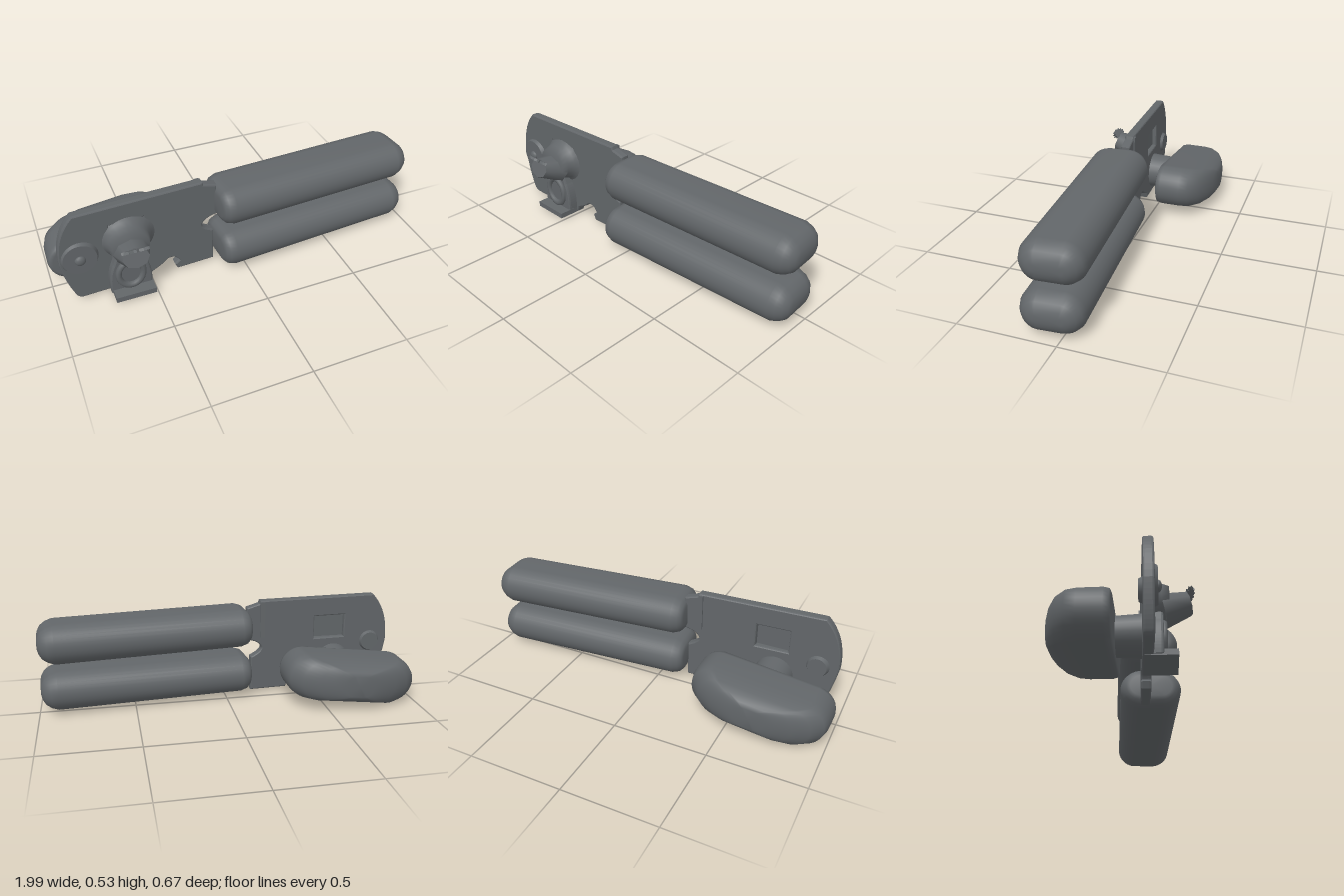
import * as THREE from 'three';

const steel = new THREE.MeshStandardMaterial({ color: 0x626669 });
steel.name = 'dark grey';

function add(parent, name, geometry, x = 0, y = 0, z = 0) {
  const mesh = new THREE.Mesh(geometry, steel);
  mesh.name = name;
  mesh.position.set(x, y, z);
  parent.add(mesh);
  return mesh;
}

// Closed loft along z through pill-shaped rings [z, halfLength, halfHeight]
function pillLoft(rings, n = 32) {
  const pos = [], index = [];
  for (const [z, a, b] of rings) {
    for (let i = 0; i < n; i++) {
      const t = ((i + 0.5) / n) * Math.PI * 2;
      pos.push(Math.cos(t) * b + Math.sign(Math.cos(t)) * (a - b), Math.sin(t) * b, z);
    }
  }
  for (let r = 0; r < rings.length - 1; r++) {
    for (let i = 0; i < n; i++) {
      const j = (i + 1) % n, p = r * n, q = p + n;
      index.push(p + i, p + j, q + j, p + i, q + j, q + i);
    }
  }
  const first = pos.length / 3, top = (rings.length - 1) * n;
  pos.push(0, 0, rings[0][0], 0, 0, rings[rings.length - 1][0]);
  for (let i = 0; i < n; i++) {
    const j = (i + 1) % n;
    index.push(first, j, i, first + 1, top + i, top + j);
  }
  const g = new THREE.BufferGeometry();
  g.setAttribute('position', new THREE.Float32BufferAttribute(pos, 3));
  g.setIndex(index);
  g.computeVertexNormals();
  return g;
}

function discGeometry(r0, r1, depth, sides = 28) {
  return new THREE.CylinderGeometry(r1, r0, depth, sides).rotateX(Math.PI / 2);
}

// Depth of the sloping plate's mid-plane at a given x
const plateZ = (x) => 0.125 - 0.045 * (x + 0.9);

function plateGeometry() {
  const s = new THREE.Shape();
  s.moveTo(-0.86, 0.515);
  s.quadraticCurveTo(-0.955, 0.42, -0.95, 0.25);
  s.quadraticCurveTo(-0.93, 0.12, -0.895, 0.04);
  s.quadraticCurveTo(-0.885, 0.016, -0.86, 0.016);
  s.lineTo(-0.51, 0.016);
  s.lineTo(-0.5, 0.045);
  s.quadraticCurveTo(-0.44, 0.07, -0.41, 0.1);
  s.quadraticCurveTo(-0.36, 0.115, -0.335, 0.06);
  s.lineTo(-0.36, 0.04);
  s.lineTo(-0.35, 0.016);
  s.lineTo(-0.155, 0.016);
  s.lineTo(-0.155, 0.2);
  s.quadraticCurveTo(-0.22, 0.23, -0.215, 0.26);
  s.quadraticCurveTo(-0.2, 0.3, -0.13, 0.31);
  s.lineTo(-0.13, 0.48);
  s.lineTo(-0.2, 0.5);
  s.lineTo(-0.205, 0.515);
  s.closePath();
  // Window into the pressed housing
  const h = new THREE.Path();
  h.moveTo(-0.7, 0.28);
  h.lineTo(-0.51, 0.28);
  h.lineTo(-0.51, 0.42);
  h.lineTo(-0.7, 0.42);
  h.closePath();
  s.holes.push(h);
  const g = new THREE.ExtrudeGeometry(s, {
    depth: 0.03, bevelEnabled: true, bevelThickness: 0.01, bevelSize: 0.007, bevelSegments: 2, curveSegments: 10,
  });
  const p = g.attributes.position;
  for (let i = 0; i < p.count; i++) p.setZ(i, p.getZ(i) - 0.015 + plateZ(p.getX(i)));
  g.computeVertexNormals();
  return g;
}

export function createModel() {
  const model = new THREE.Group();
  model.name = 'canOpener';

  // Two long padded handles, angled slightly backwards
  const L = 1.13, W = 0.158, H = 0.105;
  const insets = [[0, 0.05], [0.008, 0.03], [0.025, 0.012], [0.06, 0], [L - 0.085, 0],
    [L - 0.05, 0.012], [L - 0.022, 0.032], [L - 0.006, 0.06], [L, 0.085]];
  const handle = pillLoft(insets.map(([z, d]) => [z, W - d, H - d])).rotateY(Math.PI / 2);
  [['upperHandle', 0.386, -0.012, 0.11], ['lowerHandle', 0.122, -0.004, 0.122]].forEach(([name, y, tilt, z]) => {
    add(model, name, handle, -0.137, y, z).rotation.set(0, 0.068, tilt);
  });

  // Body plate with a raised rib beside the handles
  add(model, 'bodyPlate', plateGeometry());
  add(model, 'plateRib', new THREE.BoxGeometry(0.025, 0.2, 0.055), -0.213, 0.415, 0.088);

  // Turning key at the back and its shaft
  const key = pillLoft([[-0.335, 0.08, 0.055], [-0.325, 0.135, 0.075], [-0.305, 0.21, 0.092], [-0.27, 0.29, 0.107],
    [-0.22, 0.345, 0.115], [-0.17, 0.358, 0.118], [-0.06, 0.36, 0.118], [-0.035, 0.354, 0.112], [-0.028, 0.335, 0.095]]);
  add(model, 'turningKey', key, -0.64, 0.143, 0).rotation.z = 0.12;
  add(model, 'keyShaft', discGeometry(0.095, 0.102, 0.13), -0.63, 0.145, 0.03);

  // Pivot disc with rivets on both faces
  add(model, 'pivotDisc', discGeometry(0.1, 0.085, 0.03), -0.855, 0.27, 0.15);
  add(model, 'frontRivet', new THREE.SphereGeometry(0.028, 14, 8).scale(1, 1, 0.6), -0.855, 0.265, 0.165);
  add(model, 'backRivet', discGeometry(0.05, 0.065, 0.03), -0.85, 0.25, 0.095);

  // Pressed housing with the cutter head on the front
  const housing = new THREE.Group();
  housing.name = 'cutterHousing';
  model.add(housing);
  const shell = new THREE.LatheGeometry([[0.145, 0], [0.12, 0.018], [0.108, 0.05], [0.095, 0.085], [0, 0.09]]
    .map(([r, h]) => new THREE.Vector2(r, h)), 24).rotateX(Math.PI / 2);
  const dome = add(housing, 'housingShell', shell, -0.61, 0.315, 0.13);
  dome.scale.set(1, 0.9, 1);
  dome.material = steel;
  add(housing, 'housingBack', new THREE.BoxGeometry(0.19, 0.14, 0.006), -0.605, 0.35, 0.118);
  const head = add(housing, 'cutterHead', new THREE.CylinderGeometry(0.068, 0.1, 0.13, 8).rotateX(Math.PI / 2), -0.61, 0.3, 0.245);
  head.rotation.x = -0.3;
  head.scale.set(1, 0.8, 1);

  // Small toothed cutting wheel
  const star = new THREE.Shape();
  for (let i = 0; i < 24; i++) {
    const r = i % 2 ? 0.05 : 0.07, t = (i / 24) * Math.PI * 2;
    star[i ? 'lineTo' : 'moveTo'](Math.cos(t) * r, Math.sin(t) * r * 0.42);
  }
  const wheel = new THREE.ExtrudeGeometry(star, { depth: 0.014, bevelEnabled: false });
  add(housing, 'cuttingWheel', wheel, -0.61, 0.372, 0.305).rotation.x = 0.93;

  // Feed post below the cutter, with an oval rim and a foot
  const arch = new THREE.Shape();
  arch.moveTo(-0.1, 0.02);
  arch.lineTo(0.1, 0.02);
  arch.quadraticCurveTo(0.11, 0.12, 0.075, 0.19);
  arch.lineTo(0.06, 0.23);
  arch.lineTo(-0.06, 0.23);
  arch.lineTo(-0.075, 0.19);
  arch.quadraticCurveTo(-0.11, 0.12, -0.1, 0.02);
  const post = new THREE.ExtrudeGeometry(arch, {
    depth: 0.055, bevelEnabled: true, bevelThickness: 0.012, bevelSize: 0.008, bevelSegments: 2,
  });
  add(model, 'feedPost', post, -0.62, 0, 0.12);
  add(model, 'feedPostRim', new THREE.TorusGeometry(0.065, 0.016, 8, 24).scale(1, 1.2, 1), -0.62, 0.125, 0.188);
  add(model, 'feedFoot', new THREE.BoxGeometry(0.21, 0.03, 0.15), -0.615, 0.02, 0.175);
  return model;
}
